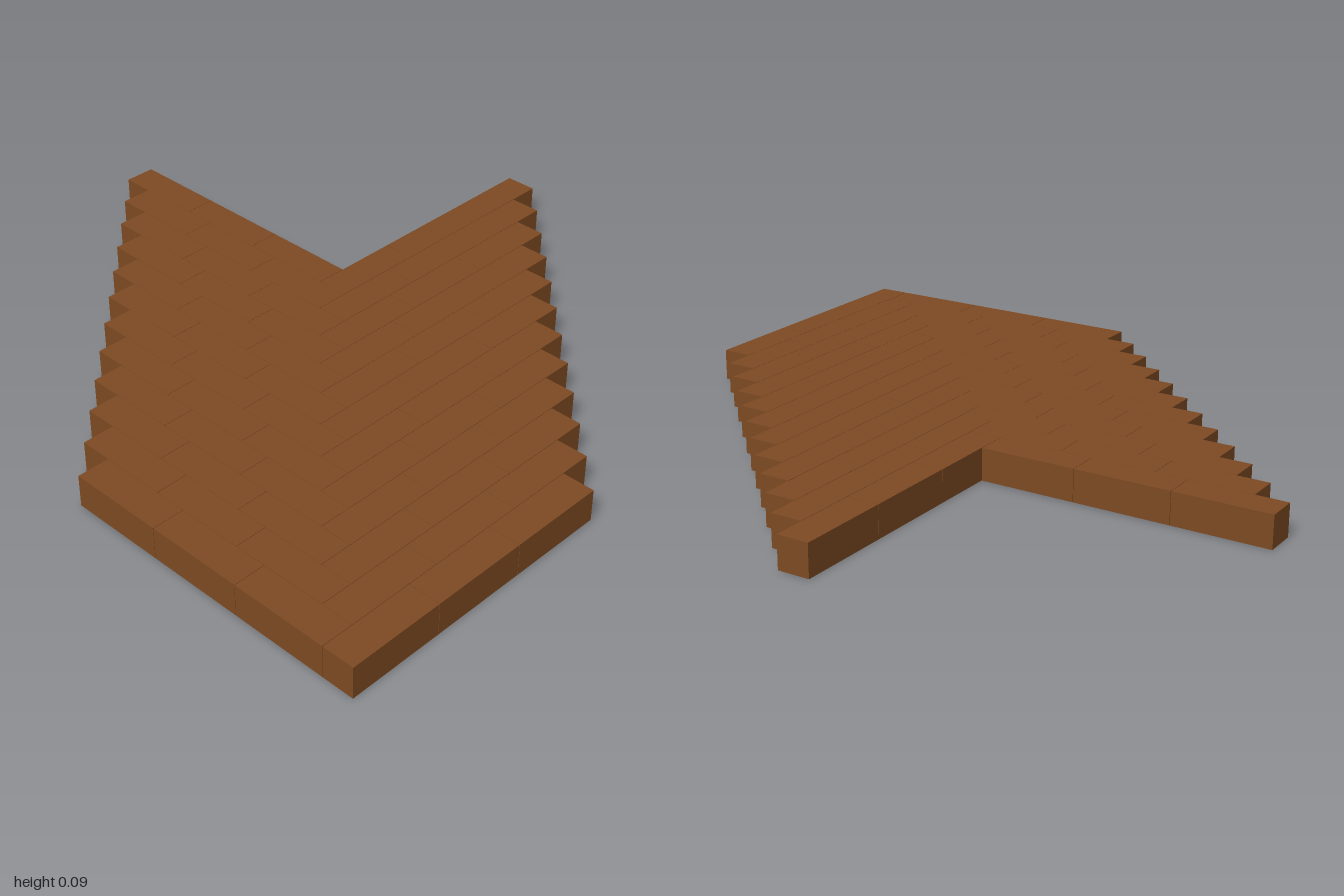
import * as THREE from 'three';

// Herringbone paving: two mirrored-diagonal courses of 3:1 bricks that interlock at a corner
export function createModel() {
  const group = new THREE.Group();
  group.name = 'herringbonePaving';

  const brickBrown = new THREE.MeshStandardMaterial({ color: 0x7d4a22 });
  brickBrown.name = 'brick brown';

  const gap = 0.0012;                 // open joint between bricks
  const w = (2 - 14 * gap) / 21;      // brick width and height
  const len = 3 * w;                  // brick length
  const pitch = w + gap;
  const step = len + gap;
  const courses = 12, perCourse = 3;

  const left = -1;
  const back = -(20 * w + 13 * gap) / 2;
  const columnX = left + perCourse * step;            // first column's left edge
  const rowZ = back + perCourse * step - gap - w;     // first row's back edge

  const alongX = new THREE.BoxGeometry(len, w, w);
  const alongZ = new THREE.BoxGeometry(w, w, len);

  const addBrick = (name, geometry, x, z) => {
    const brick = new THREE.Mesh(geometry, brickBrown);
    brick.name = name;
    brick.position.set(x, w / 2, z);
    group.add(brick);
  };

  for (let k = 0; k < courses; k++) {
    const shift = k * pitch;
    for (let i = 0; i < perCourse; i++) {
      // Row bricks run sideways, column bricks run front to back
      addBrick('rowBrick', alongX, left + shift + i * step + len / 2, rowZ + shift + w / 2);
      addBrick('columnBrick', alongZ, columnX + shift + w / 2, back + shift + i * step + len / 2);
    }
  }
  return group;
}
